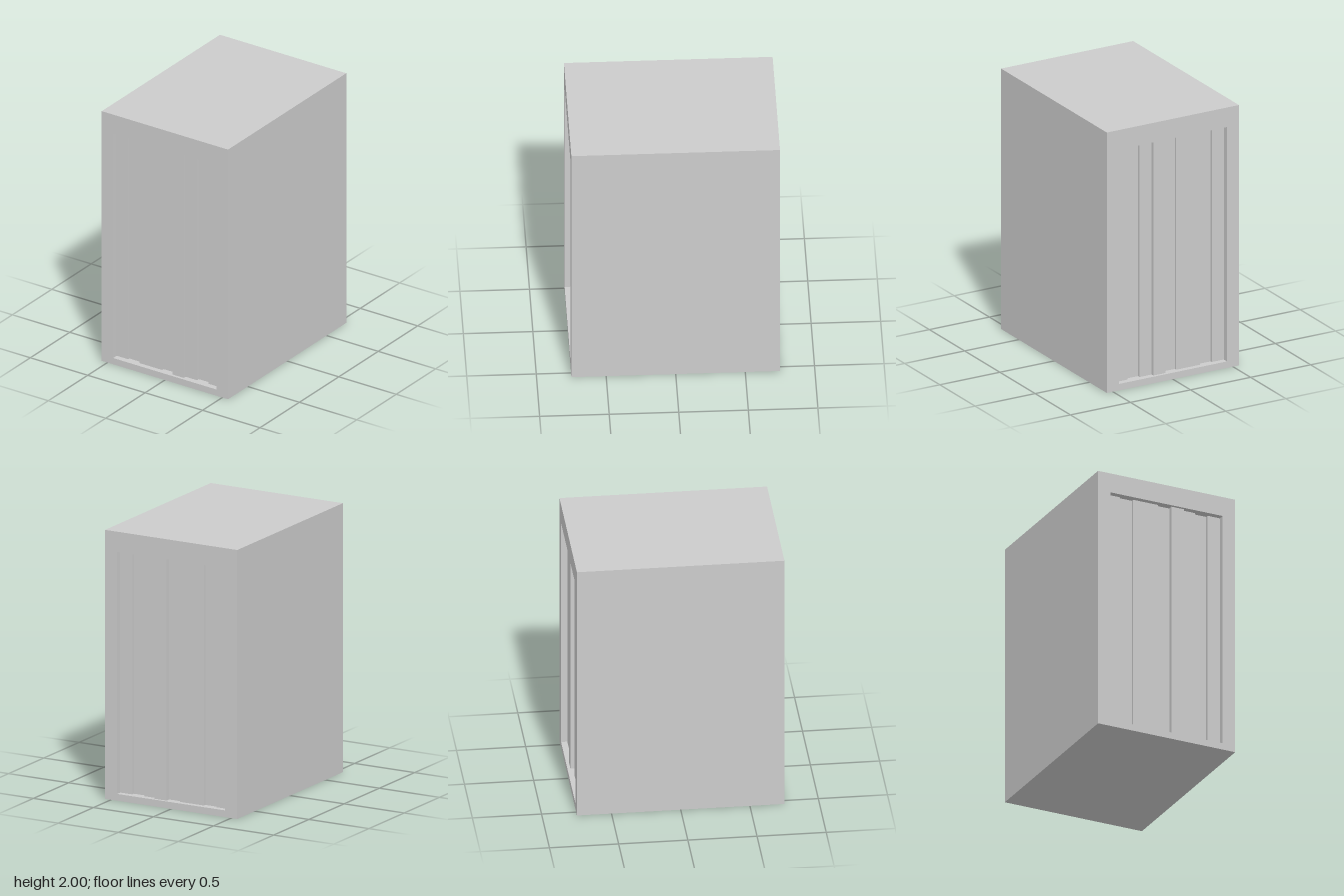
import * as THREE from 'three';

const WIDTH = 1.1, HEIGHT = 2, DEPTH = 1.5;
const LEFT = -0.45, RIGHT = 0.45, BOTTOM = 0.05, TOP = 1.85;

// Slabs from -x to +x: [width, recess behind the frame at both ends]
const SLABS = [
  [0.1, 0.045], [0.1, 0.06], [0.2, 0.04], [0.1, 0.058],
  [0.1, 0.022], [0.1, 0.045], [0.1, 0.067], [0.1, 0.045],
];

function rectangle(path, x0, y0, x1, y1) {
  path.moveTo(x0, y0);
  path.lineTo(x1, y0);
  path.lineTo(x1, y1);
  path.lineTo(x0, y1);
  path.closePath();
  return path;
}

export function createModel() {
  const group = new THREE.Group();
  group.name = 'slabCase';
  const material = new THREE.MeshStandardMaterial({ color: 0xcccccc });

  // Outer case, open at front and back
  const outline = rectangle(new THREE.Shape(), -WIDTH / 2, 0, WIDTH / 2, HEIGHT);
  outline.holes.push(rectangle(new THREE.Path(), LEFT, BOTTOM, RIGHT, TOP));
  const caseGeometry = new THREE.ExtrudeGeometry(outline, { depth: DEPTH, bevelEnabled: false });
  caseGeometry.translate(0, 0, -DEPTH / 2);
  const shell = new THREE.Mesh(caseGeometry, material);
  shell.name = 'case';
  group.add(shell);

  // Upright slabs filling the opening, staggered in depth
  const slabs = new THREE.Group();
  slabs.name = 'slabs';
  let x = LEFT;
  SLABS.forEach(([width, recess], i) => {
    const geometry = new THREE.BoxGeometry(width, TOP - BOTTOM, DEPTH - 2 * recess);
    const slab = new THREE.Mesh(geometry, material);
    slab.name = `slab${i + 1}`;
    slab.position.set(x + width / 2, (TOP + BOTTOM) / 2, 0);
    slabs.add(slab);
    x += width;
  });
  group.add(slabs);

  return group;
}
